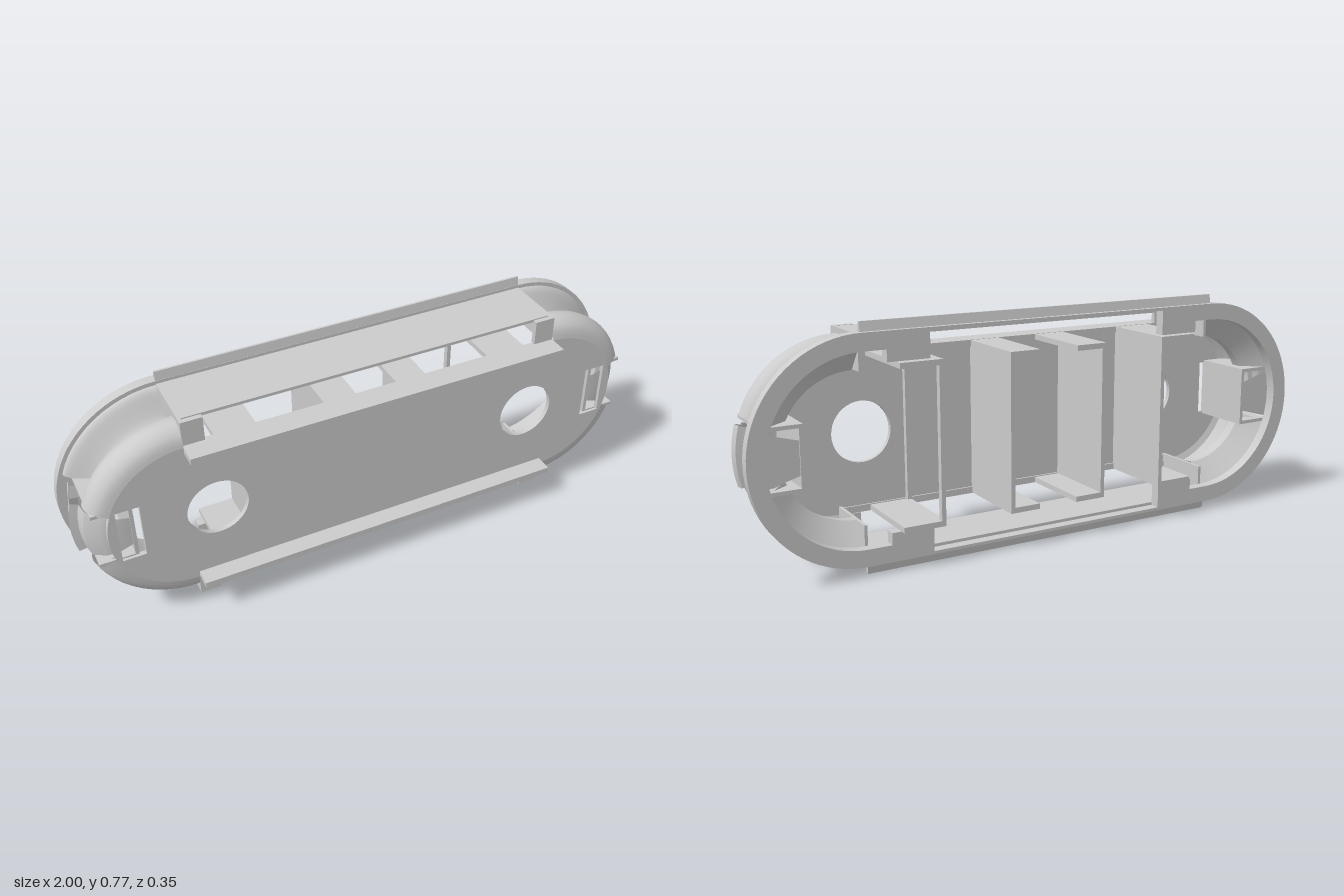
import * as THREE from 'three';
import { toCreasedNormals } from 'three/addons/utils/BufferGeometryUtils.js';

const CY = 0.385; // height of the long axis
const CX = 0.645; // centre of each rounded end
const material = new THREE.MeshStandardMaterial({ color: 0xcccccc, side: THREE.DoubleSide });

export function createModel() {
  const model = new THREE.Group();
  const body = new THREE.Group(); // y = 0 on the long axis
  body.name = 'body';
  body.position.y = CY;
  model.add(body);

  const add = (name, geometry) => {
    const mesh = new THREE.Mesh(geometry, material);
    mesh.name = name;
    body.add(mesh);
    return mesh;
  };
  // box given by its limits
  const box = (name, x0, x1, y0, y1, z0, z1) => {
    const g = new THREE.BoxGeometry(Math.abs(x1 - x0), Math.abs(y1 - y0), z1 - z0);
    return add(name, g.translate((x0 + x1) / 2, (y0 + y1) / 2, (z0 + z1) / 2));
  };
  const slab = (name, shape, z0, z1) => {
    const g = new THREE.ExtrudeGeometry(shape, { depth: z1 - z0, bevelEnabled: false, curveSegments: 20 });
    return add(name, toCreasedNormals(g.translate(0, 0, z0), 0.5));
  };
  // partial revolve around the z axis of an end; points are [radius, z]
  const revolve = (name, points, from, to, side, segments) => {
    const g = new THREE.LatheGeometry(points, segments, from + Math.PI / 2, to - from);
    g.rotateX(Math.PI / 2);
    if (side < 0) g.rotateZ(Math.PI);
    return add(name, toCreasedNormals(g.translate(side * CX, 0, 0), 0.5));
  };
  const vecs = (list) => list.map(([r, z]) => new THREE.Vector2(r, z));
  const stadium = (r) => {
    const s = new THREE.Shape();
    s.absarc(CX, 0, r, -Math.PI / 2, Math.PI / 2, false);
    s.absarc(-CX, 0, r, Math.PI / 2, Math.PI * 1.5, false);
    s.closePath();
    return s;
  };
  const rectHole = (x0, x1, y0, y1) =>
    new THREE.Path(vecs([[x0, y0], [x0, y1], [x1, y1], [x1, y0], [x0, y0]]));

  // front plate with round holes and end slots
  const front = stadium(0.262);
  for (const s of [-1, 1]) {
    const hole = new THREE.Path();
    hole.absarc(s * 0.56, 0, 0.1, 0, Math.PI * 2, true);
    front.holes.push(hole);
    front.holes.push(s > 0 ? rectHole(0.8, 0.875, -0.095, 0.095) : rectHole(-0.875, -0.8, -0.095, 0.095));
  }
  slab('frontPlate', front, 0.098, 0.115);

  // rear flange, its opening stepped inwards near the ends
  const flange = stadium(0.355);
  const opening = new THREE.Path();
  opening.moveTo(0.43, -0.345);
  opening.lineTo(0.43, -0.262);
  opening.lineTo(0.57, -0.262);
  opening.lineTo(0.57, -0.3);
  opening.absarc(CX, 0, 0.3, -Math.PI / 2, Math.PI / 2, false);
  for (const [x, y] of [[0.57, 0.3], [0.57, 0.262], [0.43, 0.262], [0.43, 0.345],
    [-0.43, 0.345], [-0.43, 0.262], [-0.57, 0.262], [-0.57, 0.3]]) opening.lineTo(x, y);
  opening.absarc(-CX, 0, 0.3, Math.PI / 2, Math.PI * 1.5, false);
  for (const [x, y] of [[-0.57, -0.3], [-0.57, -0.262], [-0.43, -0.262], [-0.43, -0.345]]) opening.lineTo(x, y);
  opening.closePath();
  flange.holes.push(opening);
  slab('rearFlange', flange, -0.15, -0.115);

  // grooved end shells, split by the clip pocket
  const outer = new THREE.SplineCurve(vecs([
    [0.342, -0.115], [0.333, -0.102], [0.29, -0.08], [0.258, -0.06], [0.25, -0.042], [0.258, -0.022],
    [0.295, -0.002], [0.317, 0.02], [0.327, 0.055], [0.318, 0.085], [0.295, 0.107], [0.262, 0.115],
  ])).getPoints(26);
  const inner = vecs([[0.262, 0.098], [0.285, 0.09], [0.3, 0.06], [0.285, 0.02], [0.235, -0.02],
    [0.232, -0.06], [0.27, -0.09], [0.3, -0.115]]);
  const clipProfile = vecs([[0.18, -0.11], [0.325, -0.11], [0.33, -0.08], [0.3, -0.075], [0.315, -0.02],
    [0.345, -0.014], [0.35, 0.012], [0.325, 0.016], [0.318, 0.055], [0.28, 0.09], [0.245, 0.103], [0.18, 0.1]]);
  for (const side of [-1, 1]) {
    for (const [a, b] of [[0.33, Math.PI / 2], [-Math.PI / 2, -0.33]]) {
      revolve('endShell', [...outer, ...inner], a, b, side, 12);
    }
    revolve('endClip', clipProfile, -0.275, 0.275, side, 8);
    // pocket around the clip
    box('pocketBack', side * 0.82, side * 0.832, -0.1, 0.1, -0.115, 0.105);
    for (const v of [-1, 1]) {
      box('pocketWall', side * 0.82, side * 0.945, v * 0.09, v * 0.102, -0.115, 0.105);
      // closing walls where the straight sides meet the ends
      box('endWall', side * 0.635, side * 0.645, v * 0.235, v * 0.345, -0.115, 0.105);
      box('slotEnd', side * 0.575, side * 0.645, v * 0.262, v * 0.345, 0.088, 0.105);
    }
  }

  // straight walls, front lips and tapered outer ridges
  for (const v of [-1, 1]) {
    box('sideWall', -CX, CX, v * 0.335, v * 0.345, -0.115, 0.083);
    box('frontLip', -CX, CX, v * 0.24, v * 0.262, 0.092, 0.175);
    const ridge = new THREE.Shape(vecs([[0.115, 0.35], [0.135, 0.35], [0.128, 0.385], [0.121, 0.385]]));
    const g = new THREE.ExtrudeGeometry(ridge, { depth: CX * 2, bevelEnabled: false });
    g.translate(0, 0, -CX).rotateY(Math.PI / 2); // section x becomes -z
    if (v < 0) g.rotateX(Math.PI).translate(0, 0, -0.25);
    add('outerRidge', g);
  }

  // inner dividers with shelves: [wall x, shelf end x, open frame]
  for (const [x, end, open] of [[0.4, 0.54, true], [0.17, 0.065, false], [-0.185, -0.075, false], [-0.41, -0.545, false]]) {
    const t = x + Math.sign(end - x) * 0.014;
    if (open) {
      box('dividerPost', x, t, -0.26, 0.26, -0.175, -0.155);
      box('dividerPost', x, t, -0.26, 0.26, 0.08, 0.1);
    } else {
      box('divider', x, t, -0.26, 0.26, -0.175, 0.1);
    }
    for (const v of [-1, 1]) box('dividerShelf', x, end, v * 0.243, v * 0.261, -0.175, 0.1);
  }
  return model;
}
